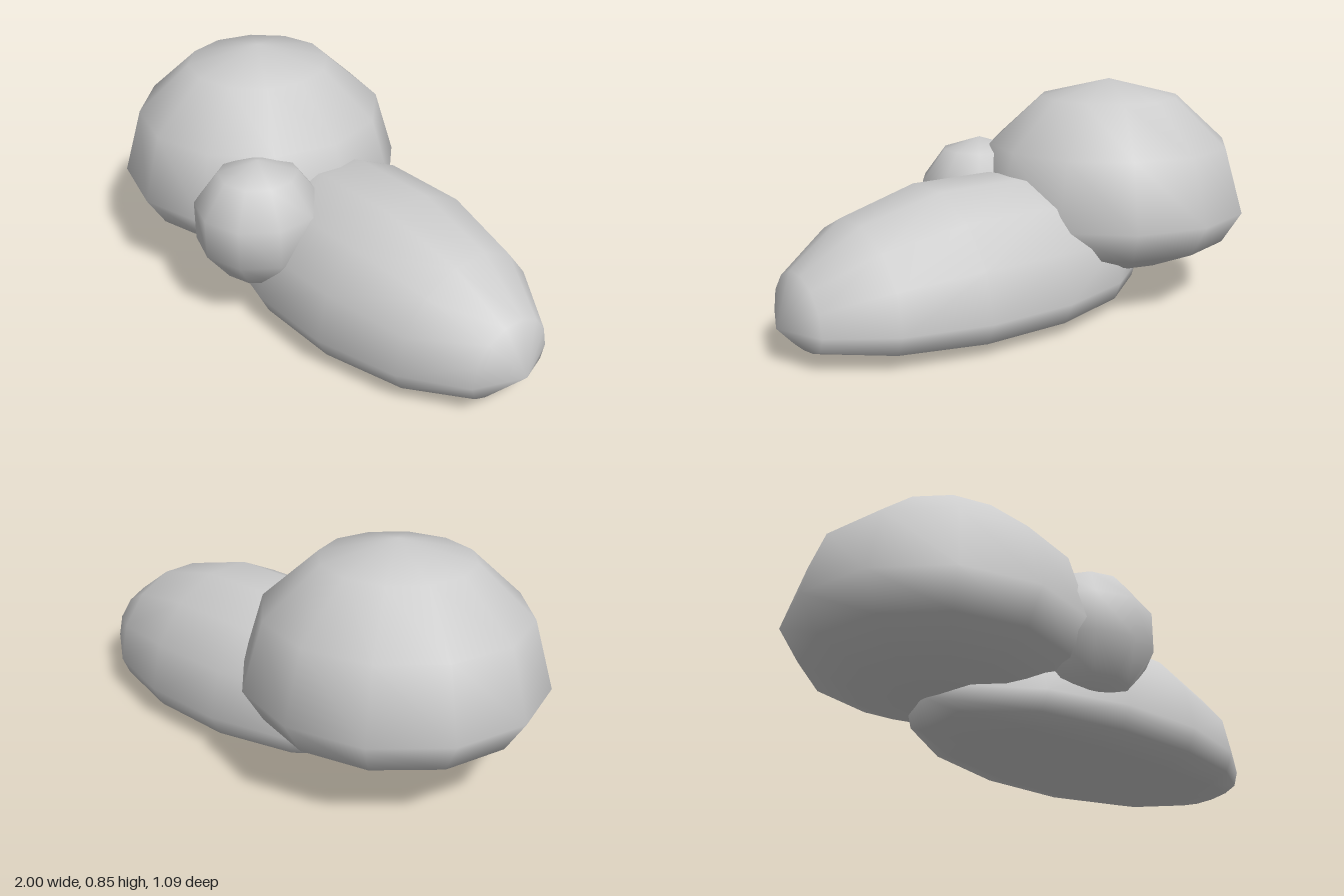
import * as THREE from 'three';
import { mergeVertices } from 'three/addons/utils/BufferGeometryUtils.js';

const material = new THREE.MeshStandardMaterial({ color: 0xcccccc });

// A low-poly smooth ellipsoid; its underside is flattened by the rule squash(depth).
function boulder(name, { segments, rings, turn = 0, lieDown = false, radii, position, squash = (d) => d }) {
  let geometry = new THREE.SphereGeometry(1, segments, rings);
  geometry.rotateY(turn);
  if (lieDown) geometry.rotateZ(Math.PI / 2); // poles along x
  geometry.scale(...radii);

  const p = geometry.attributes.position;
  for (let i = 0; i < p.count; i++) {
    const y = p.getY(i);
    if (y < -1e-6) p.setY(i, -squash(-y));
  }

  // Weld the seam and poles so the shading stays smooth.
  geometry.deleteAttribute('uv');
  geometry.deleteAttribute('normal');
  geometry = mergeVertices(geometry, 1e-4);
  geometry.computeVertexNormals();

  const mesh = new THREE.Mesh(geometry, material);
  mesh.name = name;
  mesh.position.set(...position);
  return mesh;
}

export function createModel() {
  const group = new THREE.Group();
  group.name = 'boulderCluster';

  group.add(
    // Large raised dome with a shallower underside
    boulder('largeBoulder', {
      segments: 12, rings: 6,
      radii: [0.55, 0.5, 0.547],
      position: [-0.45, 0.35, -0.002],
      squash: (d) => d * 0.48,
    }),
    // Long low boulder lying along x, with a nearly flat base
    boulder('longBoulder', {
      segments: 14, rings: 7, turn: Math.PI / 2, lieDown: true,
      radii: [0.76, 0.415, 0.417],
      position: [0.24, 0.127, -0.002],
      squash: (d) => 0.2156 * d ** 0.57,
    }),
    // Small round boulder at the front
    boulder('smallBoulder', {
      segments: 10, rings: 5, turn: Math.PI / 2,
      radii: [0.248, 0.24, 0.248],
      position: [-0.04, 0.377, 0.31],
    }),
  );
  return group;
}
